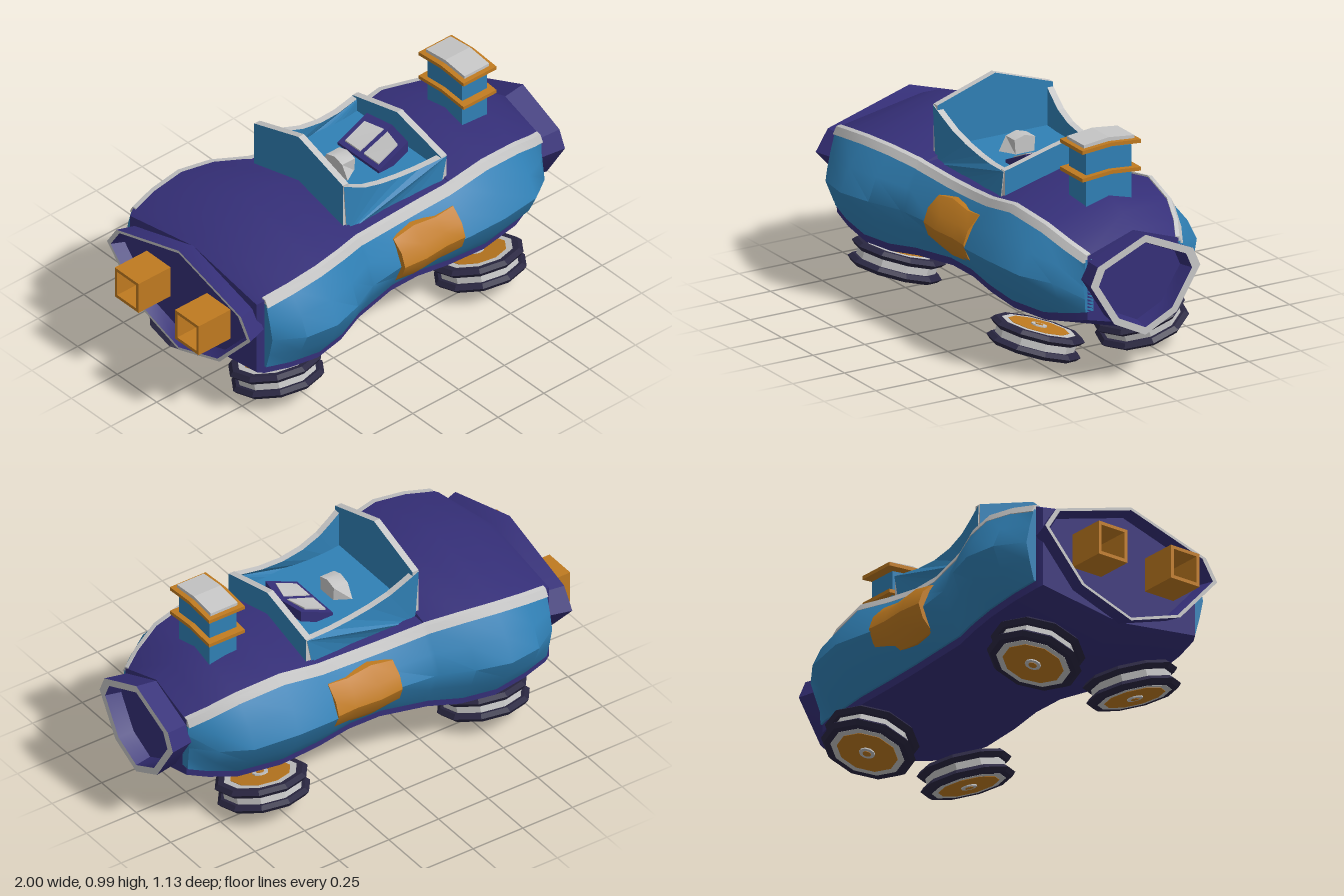
import * as THREE from 'three';
import { toCreasedNormals } from 'three/addons/utils/BufferGeometryUtils.js';

const mat = (name, color, side = THREE.FrontSide) => new THREE.MeshStandardMaterial({ name, color, side });

// Skin through rings of [x, y, z] points; rings run along +x, points counter-clockwise seen from +x
function loft(rings, caps = true, crease = 0.7) {
  const n = rings[0].length, idx = [];
  for (let i = 0; i < rings.length - 1; i++) {
    for (let j = 0; j < n; j++) {
      const k = (j + 1) % n;
      const a = i * n + j, b = i * n + k, c = b + n, d = a + n;
      idx.push(a, b, c, a, c, d);
    }
  }
  if (caps) {
    const e = (rings.length - 1) * n;
    for (let j = 1; j < n - 1; j++) idx.push(0, j + 1, j, e, e + j, e + j + 1);
  }
  const g = new THREE.BufferGeometry();
  g.setAttribute('position', new THREE.Float32BufferAttribute(rings.flat(2), 3));
  g.setIndex(idx);
  return toCreasedNormals(g, crease);
}

// Mirror a ring to the other side while keeping its winding
const sided = (ring, s) => {
  const r = ring.map(([x, y, z]) => [x, y, z * s]);
  return s < 0 ? r.reverse() : r;
};

const polygon = (pts) => new THREE.Shape(pts.map((p) => new THREE.Vector2(p[0], p[1])));

// Slab across z with a peaked top (and optionally a peaked underside), from x0 to x1
function crowned(half, y0, y1, crown, x0, x1, under = 0) {
  const shape = polygon([[-half, y0], [0, y0 + under], [half, y0], [half, y1], [0, y1 + crown], [-half, y1]]);
  const g = new THREE.ExtrudeGeometry(shape, { depth: x1 - x0, bevelEnabled: false });
  return g.rotateY(-Math.PI / 2).translate(x1, 0, 0);
}

// Hull stations: x, ridge y, panel top y, panel bottom y, keel y, edge z, widest z
const STATIONS = [
  [-0.8, 0.72, 0.63, 0.33, 0.24, 0.4, 0.44],
  [-0.77, 0.735, 0.645, 0.32, 0.22, 0.415, 0.465],
  [-0.65, 0.785, 0.67, 0.3, 0.17, 0.435, 0.545],
  [-0.5, 0.815, 0.69, 0.28, 0.14, 0.44, 0.565],
  [-0.35, 0.81, 0.685, 0.28, 0.15, 0.41, 0.52],
  [-0.21, 0.77, 0.66, 0.295, 0.19, 0.36, 0.452],
  [-0.19, 0.7, 0.655, 0.295, 0.193, 0.355, 0.447],
  [0, 0.7, 0.63, 0.31, 0.22, 0.322, 0.42],
  [0.15, 0.7, 0.63, 0.305, 0.215, 0.315, 0.425],
  [0.3, 0.7, 0.645, 0.29, 0.195, 0.325, 0.45],
  [0.33, 0.75, 0.65, 0.288, 0.19, 0.326, 0.453],
  [0.5, 0.76, 0.68, 0.28, 0.17, 0.33, 0.465],
  [0.7, 0.745, 0.65, 0.285, 0.175, 0.3, 0.43],
  [0.82, 0.7, 0.6, 0.31, 0.2, 0.26, 0.345],
  [0.9, 0.65, 0.56, 0.33, 0.24, 0.22, 0.24],
];

const hullRing = ([x, top, et, eb, keel, ez]) => [
  [x, top, 0], [x, et + 0.015, ez], [x, eb - 0.035, ez], [x, keel, 0], [x, eb - 0.035, -ez], [x, et + 0.015, -ez],
];

const panelRing = ([x, , et, eb, , ez, mz]) => {
  const m = (et + eb) / 2, q = ez + (mz - ez) * 0.65;
  return [[x, et, ez - 0.03], [x, et, ez + 0.01], [x, m + (et - m) * 0.5, q], [x, m, mz],
    [x, m + (eb - m) * 0.5, q], [x, eb, ez + 0.01], [x, eb, ez - 0.03]];
};

const trimRing = ([x, , et, , , ez]) => [
  [x, et + 0.025, ez - 0.015], [x, et + 0.02, ez + 0.005], [x, et - 0.012, ez + 0.022], [x, et - 0.012, ez - 0.02],
];

// Eight-sided flange outline, half width w, between y0 and y1, scaled by s about its middle
function flangeRing(x, w, y0, y1, s) {
  const m = (y0 + y1) / 2, h = y1 - y0;
  const half = [[1, 0], [0.77, 0.87], [0.59, 1], [0.17, 0.57]];
  const pts = [...half, [0, 0], ...half.slice(1).reverse().map(([v, u]) => [v, -u])];
  return pts.map(([v, u]) => [x, m + (y0 + v * h - m) * s, u * w * s]);
}

export function createModel() {
  const purple = mat('hull purple', 0x352f78, THREE.DoubleSide);
  const blue = mat('panel blue', 0x3080b5);
  const grey = mat('trim grey', 0xc6c6c6, THREE.DoubleSide);
  const orange = mat('orange', 0xbf7a20, THREE.DoubleSide);
  const dark = mat('tyre dark', 0x2a2742);

  const model = new THREE.Group();
  const add = (name, geo, material, parent = model) => {
    const m = new THREE.Mesh(geo, material);
    m.name = name;
    parent.add(m);
    return m;
  };

  // Hull with side panels and trim
  add('hull', loft(STATIONS.map(hullRing)), purple);
  const panelStations = STATIONS.slice(1);
  for (const s of [1, -1]) {
    const side = s > 0 ? 'left' : 'right';
    add(side + 'Panel', loft(panelStations.map((p) => sided(panelRing(p), s))), blue);
    add(side + 'Trim', loft(panelStations.map((p) => sided(trimRing(p), s))), grey);

    // Badge plate wrapped over the waist of the panel
    const plate = [[-0.03, 0.585, 0.37, 0.448], [0.08, 0.605, 0.355, 0.458], [0.2, 0.588, 0.365, 0.448], [0.295, 0.598, 0.355, 0.453]];
    add(side + 'Plate', loft(plate.map(([x, t, b, z]) => sided([
      [x, t, 0.33], [x, t, 0.375], [x, 0.54, z - 0.022], [x, 0.48, z], [x, 0.42, z - 0.022], [x, b, 0.375], [x, b, 0.33],
    ], s))), orange);
  }

  // Flared open flanges at the nose and tail
  const flange = (name, xBody, xRim, xFloor, w, y0, y1, neck, inner) => {
    const f = new THREE.Group();
    f.name = name;
    const ring = (x, s) => flangeRing(x, w, y0, y1, s);
    add(name + 'Outside', loft([ring(xBody, neck), ring(xRim, 1)], false), purple, f);
    add(name + 'Rim', loft([ring(xRim, 1), ring(xRim, inner)], false), grey, f);
    add(name + 'Inside', loft([ring(xRim, inner), ring(xFloor, inner - 0.06)], false), purple, f);
    add(name + 'Floor', loft([ring(xFloor - 0.005, inner - 0.06), ring(xFloor, inner - 0.06)]), purple, f);
    model.add(f);
  };
  flange('nose', 0.88, 1, 0.93, 0.265, 0.22, 0.66, 0.92, 0.85);
  flange('tail', -0.78, -0.88, -0.82, 0.453, 0.22, 0.735, 0.93, 0.95);

  // Square exhaust pipes
  for (const s of [1, -1]) {
    const square = (r) => [[-r, -r], [r, -r], [r, r], [-r, r]];
    const shape = polygon(square(0.075));
    shape.holes.push(polygon(square(0.06).reverse()));
    const g = new THREE.ExtrudeGeometry(shape, { depth: 0.2, bevelEnabled: false });
    add(s > 0 ? 'leftExhaust' : 'rightExhaust', g.rotateY(-Math.PI / 2).translate(-0.8, 0.48, 0.19 * s), orange);
  }

  // Cockpit tub: pinched side walls, peaked back and front walls, floor
  const rim = [[-0.224, 0.905], [-0.16, 0.865], [-0.09, 0.825], [0, 0.795], [0.1, 0.778], [0.2, 0.774], [0.338, 0.785]];
  const base = rim.map(([x]) => [x * 0.92, 0.65]).reverse();
  for (const s of [1, -1]) {
    const g = new THREE.ExtrudeGeometry(polygon([...rim, ...base].reverse()), { depth: 0.03, bevelEnabled: false });
    const p = g.attributes.position;
    for (let i = 0; i < p.count; i++) {
      const t = Math.min(1, Math.max(0, (p.getX(i) + 0.22) / 0.55));
      p.setZ(i, p.getZ(i) - 0.015 + s * (0.27 - 0.025 * Math.sin(Math.PI * t)));
    }
    g.computeVertexNormals();
    add(s > 0 ? 'leftCockpitWall' : 'rightCockpitWall', g, [blue, grey]);
  }
  add('cockpitBack', crowned(0.28, 0.7, 0.908, 0.092, -0.226, -0.196), [blue, grey]);
  add('cockpitFront', crowned(0.28, 0.66, 0.787, 0.073, 0.311, 0.341), [blue, grey]);
  add('cockpitFloor', new THREE.BoxGeometry(0.52, 0.02, 0.5).translate(0.06, 0.712, 0), blue);

  // Seat back and control console
  add('seat', loft([-0.03, 0.04].map((x, i) => [
    [x, 0.8, 0], [x, 0.785, 0.05], [x, 0.72, 0.085 - i * 0.04], [x, 0.72, -0.085 + i * 0.04], [x, 0.785, -0.05]])), grey);
  for (const s of [1, -1]) {
    const slab = (x0, x1, z0, z1, lift, thick) => loft([x0, x1].map((x) => {
      const y = 0.735 + (x - 0.1) * 0.45 + lift;
      const k = x === x1 ? 0.025 : 0;
      return sided([[x + k, y, z0], [x, y, z1], [x, y - thick, z1], [x + k, y - thick, z0]], s);
    }));
    add('console', slab(0.1, 0.26, 0, 0.13, 0, 0.05), purple);
    add('consoleScreen', slab(0.12, 0.225, 0.012, 0.105, 0.006, 0.008), grey);
  }

  // Chimney with peaked bands and cap
  add('chimney', crowned(0.11, 0.66, 0.945, 0.012, 0.573, 0.708), blue);
  for (const y of [0.832, 0.954]) {
    add('chimneyBand', crowned(0.142, y, y + 0.016, 0.012, 0.552, 0.732, 0.012), orange);
  }
  add('chimneyCap', crowned(0.122, 0.965, 0.985, 0.014, 0.575, 0.71), grey);

  // Tilted double wheels, same detail on both faces
  const disc = (r, h, y = 0, r2 = r) => new THREE.CylinderGeometry(r, r2, h, 10).toNonIndexed().translate(0, y, 0);
  const tyreProfile = [[0.15, -0.017], [0.185, -0.017], [0.202, 0], [0.185, 0.017], [0.15, 0.017], [0.15, -0.017]]
    .map(([r, y]) => new THREE.Vector2(r, y));
  const flat = (g) => toCreasedNormals(g, 0.3);
  for (const x of [-0.565, 0.54]) {
    for (const s of [1, -1]) {
      const wheel = new THREE.Group();
      wheel.name = (x > 0 ? 'front' : 'rear') + (s > 0 ? 'Left' : 'Right') + 'Wheel';
      add('wheelCore', flat(disc(0.17, 0.06)), grey, wheel);
      for (const t of [1, -1]) {
        add('tyre', flat(new THREE.LatheGeometry(tyreProfile, 10).translate(0, 0.034 * t, 0)), dark, wheel);
        add('wheelRing', flat(disc(0.158, 0.02, 0.042 * t)), grey, wheel);
        add('wheelDisc', flat(disc(0.13, 0.008, 0.05 * t)), orange, wheel);
        add('wheelHub', flat(disc(0.034, 0.012, 0.054 * t)), grey, wheel);
        add('wheelBolt', flat(disc(0.018, 0.004, 0.06 * t)), orange, wheel);
      }
      wheel.position.set(x, 0.111, 0.252 * s);
      wheel.rotation.x = -0.3 * s;
      model.add(wheel);
    }
  }
  return model;
}
